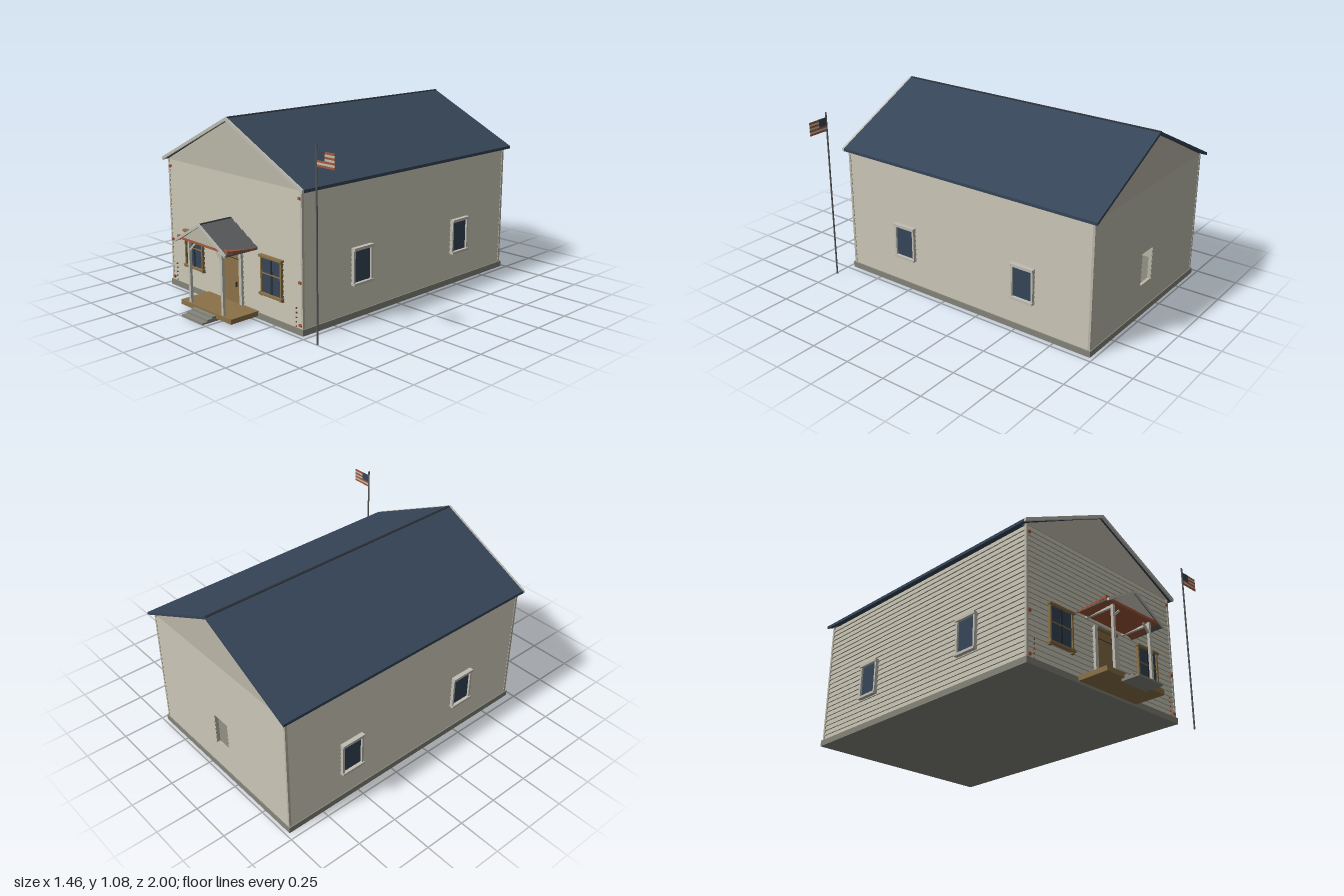
import * as THREE from 'three';

const mat = (name, color) => Object.assign(new THREE.MeshStandardMaterial({ color }), { name });
const M = {
  siding: mat('siding', 0xbab7a8),
  trim: mat('trim', 0xbfbdb3),
  roof: mat('slate blue', 0x354558),
  wood: mat('wood', 0x8b7149),
  grey: mat('porch roof grey', 0x5c5d5e),
  stone: mat('foundation', 0x85847a),
  red: mat('brick red', 0xa2573a),
  dark: mat('dark metal', 0x2b3036),
};

const CX = -0.12, HALF = 0.575, FRONT = 0.712, BACK = -0.967;
const BASE = 0.035, COURSE = 0.0294, ROWS = 25, TOP = BASE + COURSE * ROWS;

function add(parent, name, geo, material, x = 0, y = 0, z = 0) {
  const m = new THREE.Mesh(geo, material);
  m.name = name;
  m.position.set(x, y, z);
  parent.add(m);
  return m;
}

// box given by its limits
const box = (p, name, m, x0, x1, y0, y1, z0, z1) =>
  add(p, name, new THREE.BoxGeometry(x1 - x0, y1 - y0, z1 - z0), m,
    (x0 + x1) / 2, (y0 + y1) / 2, (z0 + z1) / 2);

function group(parent, name, x = 0, y = 0, z = 0, ry = 0) {
  const g = new THREE.Group();
  g.name = name;
  g.position.set(x, y, z);
  g.rotation.y = ry;
  parent.add(g);
  return g;
}

// polygon in the xy plane, extruded from z0 to z1
function prism(p, name, m, pts, z0, z1) {
  const shape = new THREE.Shape(pts.map(a => new THREE.Vector2(...a)));
  const geo = new THREE.ExtrudeGeometry(shape, { depth: z1 - z0, bevelEnabled: false });
  return add(p, name, geo, m, 0, 0, z0);
}

// inverted V used for roofs and rake boards
const chevron = (p, name, m, w, eave, apex, t, z0, z1) =>
  prism(p, name, m, [[-w, eave - t], [0, apex - t], [w, eave - t], [w, eave], [0, apex], [-w, eave]], z0, z1);

// lapped boards from x0 to x1, course r0 to r1, facing +z
function siding(p, x0, x1, r0 = 0, r1 = ROWS) {
  const s = new THREE.Shape();
  s.moveTo(-0.018, BASE + r0 * COURSE);
  for (let r = r0; r < r1; r++) {
    s.lineTo(0.008, BASE + r * COURSE);
    s.lineTo(0, BASE + (r + 1) * COURSE);
  }
  s.lineTo(-0.018, BASE + r1 * COURSE);
  const geo = new THREE.ExtrudeGeometry(s, { depth: x1 - x0, bevelEnabled: false });
  add(p, 'siding', geo, M.siding, x1).rotation.y = -Math.PI / 2;
}

// framed side window centred on x
function sideWindow(wall, x) {
  const g = group(wall, 'sideWindow', x);
  box(g, 'glass', M.roof, -0.064, 0.064, 0.2, 0.386, 0, 0.012);
  for (const s of [-1, 1]) box(g, 'jamb', M.trim, s * 0.067 - 0.006, s * 0.067 + 0.006, 0.19, 0.395, 0, 0.024);
  box(g, 'sill', M.trim, -0.075, 0.075, 0.188, 0.202, 0, 0.031);
  box(g, 'head', M.trim, -0.075, 0.075, 0.384, 0.4, 0, 0.031);
}

function frontWindow(wall, x) {
  const g = group(wall, 'frontWindow', x);
  box(g, 'glass', M.roof, -0.078, 0.078, 0.165, 0.37, 0, 0.012);
  box(g, 'mullion', M.dark, -0.006, 0.006, 0.165, 0.37, 0.012, 0.016);
  box(g, 'glazingBar', M.wood, -0.078, 0.078, 0.272, 0.278, 0.012, 0.017);
  for (const s of [-1, 1]) {
    box(g, 'jamb', M.wood, s * 0.08 - 0.005, s * 0.08 + 0.005, 0.16, 0.37, 0, 0.02);
    box(g, 'sillBlock', M.wood, s * 0.081 - 0.009, s * 0.081 + 0.009, 0.145, 0.154, 0, 0.02);
  }
  box(g, 'sill', M.wood, -0.092, 0.092, 0.153, 0.166, 0, 0.028);
  box(g, 'head', M.wood, -0.092, 0.092, 0.364, 0.376, 0, 0.028);
}

function buildHouse(root) {
  const h = group(root, 'house', CX);
  box(h, 'foundation', M.stone, -0.59, 0.59, 0, BASE, -0.98, 0.725);

  // front wall
  const front = group(h, 'frontWall', 0, 0, FRONT);
  const seams = [-HALF, 0.085, 0.262, 0.435, HALF];
  for (let i = 0; i < 4; i++) siding(front, seams[i], seams[i + 1]);
  for (const s of [-1, 1]) {
    frontWindow(front, s * 0.345);
    for (const y of [0.73, 0.285, 0.053])
      box(front, 'cornerBracket', M.red, s * 0.565 - 0.009, s * 0.565 + 0.009, y - 0.007, y + 0.007, 0, 0.012);
    for (let i = 0; i < 5; i++)
      box(front, 'stud', M.red, s * 0.533 - 0.003, s * 0.533 + 0.003, 0.037 + i * 0.025, 0.045 + i * 0.025, 0, 0.011);
  }

  // back wall with an open window
  const back = group(h, 'backWall', 0, 0, BACK, Math.PI);
  siding(back, -HALF, -0.06);
  siding(back, 0.06, HALF);
  siding(back, -0.06, 0.06, 0, 5);
  siding(back, -0.06, 0.06, 12, ROWS);

  // side walls
  const left = group(h, 'leftWall', HALF, 0, 0, Math.PI / 2);
  siding(left, -FRONT, 0.61);
  siding(left, 0.61, -BACK);
  const right = group(h, 'rightWall', -HALF, 0, 0, -Math.PI / 2);
  siding(right, BACK, FRONT);
  for (const z of [0.288, -0.545]) {
    sideWindow(left, -z);
    sideWindow(right, z);
  }

  // corner boards
  for (const x of [-0.577, 0.577]) for (const z of [FRONT, BACK])
    box(h, 'cornerBoard', M.siding, x - 0.006, x + 0.006, BASE, TOP, z - 0.007, z + 0.007);

  // gables and roof
  const tri = [[-0.59, TOP], [0.59, TOP], [0, 1.066]];
  prism(h, 'frontGable', M.siding, tri, FRONT - 0.018, FRONT + 0.004);
  prism(h, 'backGable', M.siding, tri, BACK - 0.004, BACK + 0.018);
  chevron(h, 'roof', M.roof, 0.61, 0.783, 1.08, 0.017, -1, 0.728);
  chevron(h, 'rakeBoard', M.trim, 0.61, 0.783, 1.08, 0.019, 0.728, 0.742);
  chevron(h, 'ridgeCap', M.dark, 0.008, 1.079, 1.083, 0.004, -1, 0.728);
}

function buildPorch(root) {
  const p = group(root, 'porch', CX);
  box(p, 'deck', M.wood, -0.225, 0.225, 0.014, 0.042, 0.715, 0.91);
  [[0.01, 1], [0.02, 0.967], [0.03, 0.935]].forEach(([y, z]) =>
    box(p, 'step', M.stone, -0.095, 0.095, y - 0.01, y, 0.89, z));

  // door
  box(p, 'door', M.wood, -0.073, 0.073, 0.042, 0.345, 0.712, 0.726);
  box(p, 'doorRail', M.dark, -0.073, 0.073, 0.299, 0.302, 0.726, 0.728);
  box(p, 'doorHead', M.wood, -0.08, 0.08, 0.35, 0.364, 0.712, 0.74);
  box(p, 'doorHandle', M.dark, 0.048, 0.054, 0.14, 0.168, 0.726, 0.735);

  for (const s of [-1, 1]) {
    box(p, 'doorCasing', M.trim, s * 0.085 - 0.011, s * 0.085 + 0.011, 0.042, 0.365, 0.712, 0.732);
    box(p, 'post', M.trim, s * 0.146 - 0.008, s * 0.146 + 0.008, 0.042, 0.412, 0.888, 0.904);
    // knee brace leaning from post to beam
    const b = add(p, 'brace', new THREE.BoxGeometry(0.01, 0.068, 0.01), M.trim, s * 0.122, 0.363, 0.896);
    b.rotation.z = s * Math.PI / 4;
    box(p, 'sideBeam', M.trim, s * 0.146 - 0.007, s * 0.146 + 0.007, 0.388, 0.402, 0.715, 0.9);
  }

  // tilted ceiling board and gabled roof
  const c = add(p, 'ceilingBoard', new THREE.BoxGeometry(0.45, 0.012, 0.185), M.red, 0, 0.404, 0.828);
  c.rotation.x = -0.1;
  box(p, 'frontBeam', M.red, -0.225, 0.225, 0.403, 0.422, 0.908, 0.92);
  prism(p, 'porchGable', M.siding, [[-0.165, 0.418], [0.165, 0.418], [0, 0.515]], 0.905, 0.922);
  chevron(p, 'porchRoof', M.grey, 0.224, 0.402, 0.527, 0.012, 0.715, 0.927);
  chevron(p, 'porchRake', M.trim, 0.224, 0.402, 0.527, 0.016, 0.927, 0.938);
  chevron(p, 'porchRidge', M.dark, 0.006, 0.526, 0.53, 0.004, 0.72, 0.927);
}

function buildFlag(root) {
  const f = group(root, 'flagpole', 0.598, 0, 0.742);
  add(f, 'pole', new THREE.CylinderGeometry(0.005, 0.005, 1.03, 10), M.grey, 0, 0.515);
  const h = 0.08 / 7;
  for (let i = 0; i < 7; i++)
    box(f, 'stripe', i % 2 ? M.trim : M.red, 0.004, 0.128, 0.92 + i * h, 0.92 + (i + 1) * h, -0.002, 0.002);
  box(f, 'canton', M.roof, 0.004, 0.058, 0.92 + 3 * h, 1.0005, -0.003, 0.003);
}

export function createModel() {
  const root = new THREE.Group();
  root.name = 'schoolhouse';
  buildHouse(root);
  buildPorch(root);
  buildFlag(root);
  return root;
}
